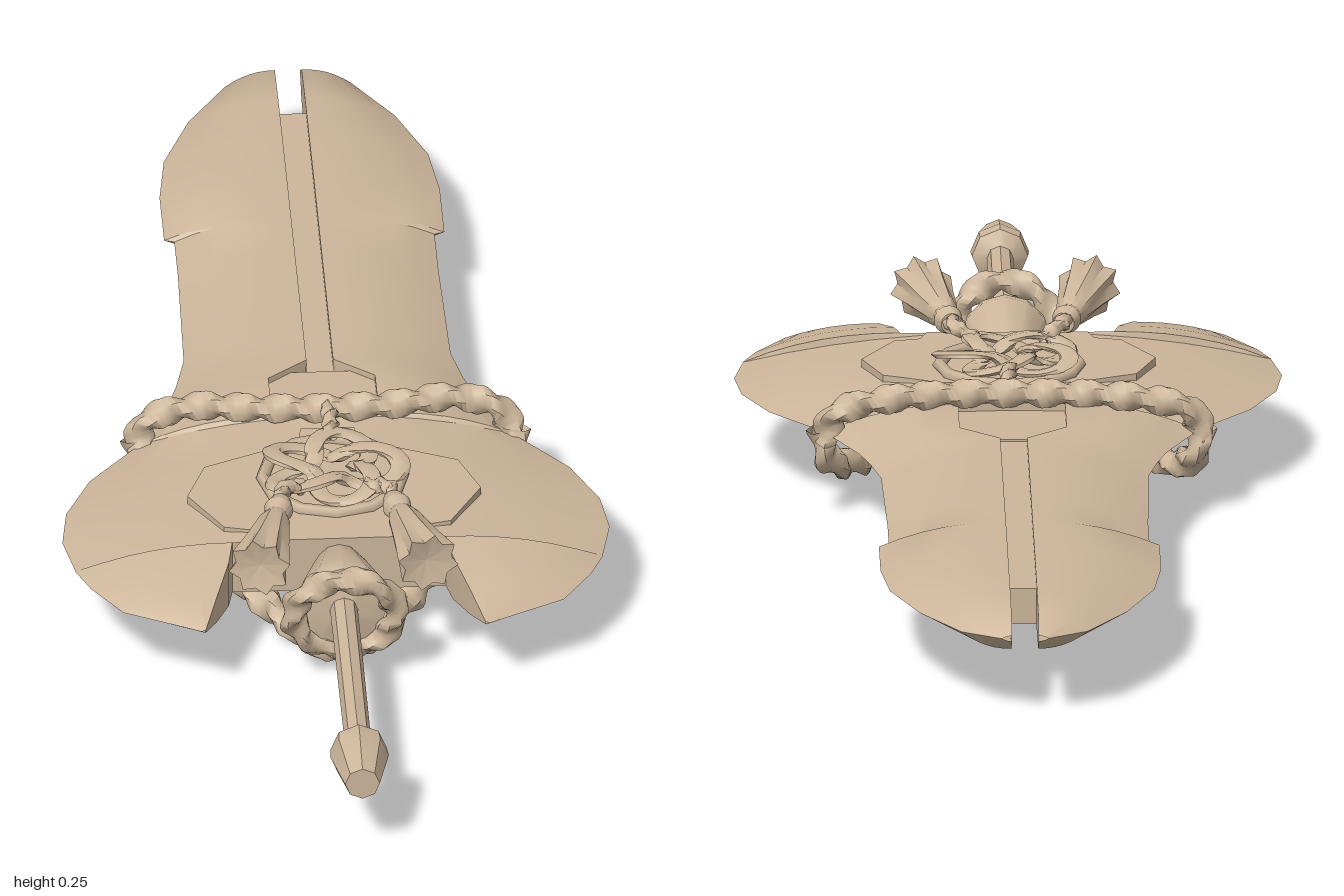
import * as THREE from 'three';
import { toCreasedNormals } from 'three/addons/utils/BufferGeometryUtils.js';

const MID = 0.132; // height of the blade's middle plane
const V = (x, y, z) => new THREE.Vector3(x, y, z);

// Stations along the blade: z, inner x, outer x, half thickness
const STATIONS = [
  [-1, 0.02, 0.035, 0.004], [-0.965, 0.02, 0.095, 0.027], [-0.87, 0.02, 0.155, 0.034],
  [-0.76, 0.02, 0.198, 0.036], [-0.66, 0.02, 0.21, 0.038], [-0.54, 0.02, 0.21, 0.038],
  [-0.535, 0.02, 0.195, 0.038], [-0.44, 0.02, 0.195, 0.038], [-0.2, 0.02, 0.2, 0.039],
  [-0.13, 0.02, 0.215, 0.04], [-0.08, 0.08, 0.23, 0.041], [0.03, 0.08, 0.28, 0.043],
  [0.035, 0, 0.283, 0.043], [0.13, 0, 0.36, 0.044], [0.22, 0, 0.4, 0.044],
  [0.3, 0, 0.41, 0.044], [0.38, 0, 0.395, 0.044], [0.382, 0.16, 0.395, 0.044],
  [0.43, 0.168, 0.375, 0.038], [0.5, 0.19, 0.33, 0.022], [0.56, 0.21, 0.215, 0.002],
];

// Half of the blade, lens-shaped in section
function bladeHalf(side) {
  const pos = [], index = [], n = 6, ring = 2 * n + 1;
  for (const [z, inner, outer, h] of STATIONS) {
    for (let j = 0; j < ring; j++) {
      const t = 1 - Math.abs(j - n) / n;
      const y = h * (1 - Math.pow(t, 2.2)) * (j <= n ? 1 : -1);
      pos.push(side * (inner + (outer - inner) * t), MID + y, z);
    }
  }
  for (let i = 0; i < STATIONS.length - 1; i++) {
    for (let j = 0; j < ring; j++) {
      const k = (j + 1) % ring;
      const a = i * ring + j, b = i * ring + k, c = b + ring, d = a + ring;
      if (side > 0) index.push(a, d, b, b, d, c);
      else index.push(a, b, d, b, c, d);
    }
  }
  const g = new THREE.BufferGeometry();
  g.setAttribute('position', new THREE.Float32BufferAttribute(pos, 3));
  g.setIndex(index);
  return toCreasedNormals(g, 0.6);
}

// Twisted cord: a tube whose section swells in a spiral
function cord(points, radius, turns, closed = false) {
  const curve = new THREE.CatmullRomCurve3(points, closed);
  const seg = Math.max(16, turns * 8), rad = 8;
  const g = new THREE.TubeGeometry(curve, seg, radius, rad, closed);
  const p = g.attributes.position, v = new THREE.Vector3();
  for (let i = 0; i <= seg; i++) {
    const c = curve.getPointAt(i / seg);
    for (let j = 0; j <= rad; j++) {
      const s = 1 + 0.28 * Math.cos(2 * ((j / rad) * Math.PI * 2) + (i / seg) * turns * Math.PI * 2);
      const k = i * (rad + 1) + j;
      v.fromBufferAttribute(p, k).sub(c).multiplyScalar(s).add(c);
      p.setXYZ(k, v.x, v.y, v.z);
    }
  }
  return toCreasedNormals(g, 0.9);
}

// Flared tassel with a star-shaped skirt, along +y before placing
function tasselGeometry() {
  const profile = [[0, 0], [0.016, 0], [0.022, 0.02], [0.017, 0.04], [0.024, 0.06], [0.033, 0.13], [0.042, 0.19], [0, 0.18]];
  const g = new THREE.LatheGeometry(profile.map(([r, y]) => new THREE.Vector2(r, y)), 16);
  const p = g.attributes.position;
  for (let i = 0; i < p.count; i++) {
    const x = p.getX(i), y = p.getY(i), z = p.getZ(i);
    const s = 1 + 0.14 * Math.cos(8 * Math.atan2(z, x)) * Math.max(0, (y - 0.04) / 0.15);
    p.setXYZ(i, x * s, y, z * s);
  }
  return toCreasedNormals(g, 0.5);
}

export function createModel() {
  const root = new THREE.Group();
  const tan = new THREE.MeshStandardMaterial({ color: 0xcdb69b, side: THREE.DoubleSide });
  tan.name = 'tan';
  const add = (name, geometry, x = 0, y = 0, z = 0) => {
    const m = new THREE.Mesh(geometry, tan);
    m.name = name;
    m.position.set(x, y, z);
    root.add(m);
    return m;
  };
  const lathe = (pts, sides) => toCreasedNormals(
    new THREE.LatheGeometry(pts.map(([r, z]) => new THREE.Vector2(r, z)), sides).rotateX(Math.PI / 2), 0.5);

  // Twin blade halves, with a recessed core in the slot between them
  add('leftBlade', bladeHalf(1));
  add('rightBlade', bladeHalf(-1));
  add('bladeCore', new THREE.BoxGeometry(0.042, 0.056, 0.76), 0, MID, -0.46);
  add('coreBase', new THREE.BoxGeometry(0.162, 0.062, 0.16), 0, MID, -0.03);

  // Ornamental guard plate, showing on both faces
  const half = [[0.04, 0.07], [0.05, 0.13], [0.1, 0.13], [0.19, 0.17], [0.22, 0.25], [0.17, 0.34], [0.13, 0.35], [0.12, 0.381]];
  const outline = [...half, ...half.map(([x, z]) => [-x, z]).reverse()];
  const plate = new THREE.ExtrudeGeometry(
    new THREE.Shape(outline.map(([x, z]) => new THREE.Vector2(x, z))), { depth: 0.09, bevelEnabled: false });
  add('guardPlate', plate.rotateX(Math.PI / 2), 0, MID + 0.045, 0);

  // Grip, pommel and bell-shaped collar
  add('grip', lathe([[0.021, 0.38], [0.02, 0.9]], 8), 0, MID, 0);
  add('pommel', lathe([[0.018, 0.885], [0.042, 0.9], [0.044, 0.922], [0.026, 1], [0, 1]], 8), 0, MID, 0);
  add('collar', lathe([[0.03, 0.37], [0.045, 0.41], [0.068, 0.48], [0.066, 0.5], [0.02, 0.51]], 12), 0, MID, 0);

  // Cord ring leaning around the collar
  const ring = [];
  for (let i = 0; i < 12; i++) {
    const a = (i / 12) * Math.PI * 2;
    ring.push(V(0.077 * Math.sin(a), MID - 0.004 + 0.077 * Math.cos(a), 0.515 + 0.03 * Math.cos(a)));
  }
  add('collarCord', cord(ring, 0.018, 8, true));

  // Cord across the top of the guard
  add('crossCord', cord([
    V(-0.285, 0.12, 0.03), V(-0.27, 0.165, 0.02), V(-0.2, 0.187, 0.015), V(-0.1, 0.19, 0.03), V(0, 0.19, 0.035),
    V(0.1, 0.19, 0.03), V(0.2, 0.187, 0.01), V(0.265, 0.165, 0.015), V(0.28, 0.12, 0.025)], 0.019, 11));

  // Knot on the guard
  const knot = new THREE.TorusKnotGeometry(0.062, 0.014, 96, 6, 2, 5).rotateX(Math.PI / 2).scale(1.1, 0.35, 1);
  add('knot', toCreasedNormals(knot, 0.9), 0, 0.196, 0.21);
  add('knotRing', new THREE.TorusGeometry(0.105, 0.01, 6, 12).rotateX(Math.PI / 2), 0, 0.18, 0.21);
  add('knotStem', cord([V(0, 0.195, 0.03), V(0.004, 0.2, 0.08), V(0, 0.2, 0.13)], 0.011, 3));

  const tassel = tasselGeometry();
  for (const s of [1, -1]) {
    const side = s > 0 ? 'left' : 'right';
    // Cord running under the guard to the collar
    add(side + 'UnderCord', cord([
      V(s * 0.283, 0.14, 0.025), V(s * 0.275, 0.09, 0.035), V(s * 0.24, 0.062, 0.1), V(s * 0.17, 0.052, 0.23),
      V(s * 0.09, 0.035, 0.36), V(s * 0.03, 0.03, 0.44), V(0, 0.055, 0.49)], 0.02, 9));
    // Tassel and its short cord from the knot
    add(side + 'TasselCord', cord([V(s * 0.05, 0.2, 0.27), V(s * 0.08, 0.214, 0.3), V(s * 0.086, 0.208, 0.34)], 0.011, 3));
    const t = add(side + 'Tassel', tassel, s * 0.084, 0.208, 0.325);
    t.quaternion.setFromUnitVectors(V(0, 1, 0), V(s * 0.23, 0.01, 1).normalize());
  }
  return root;
}
